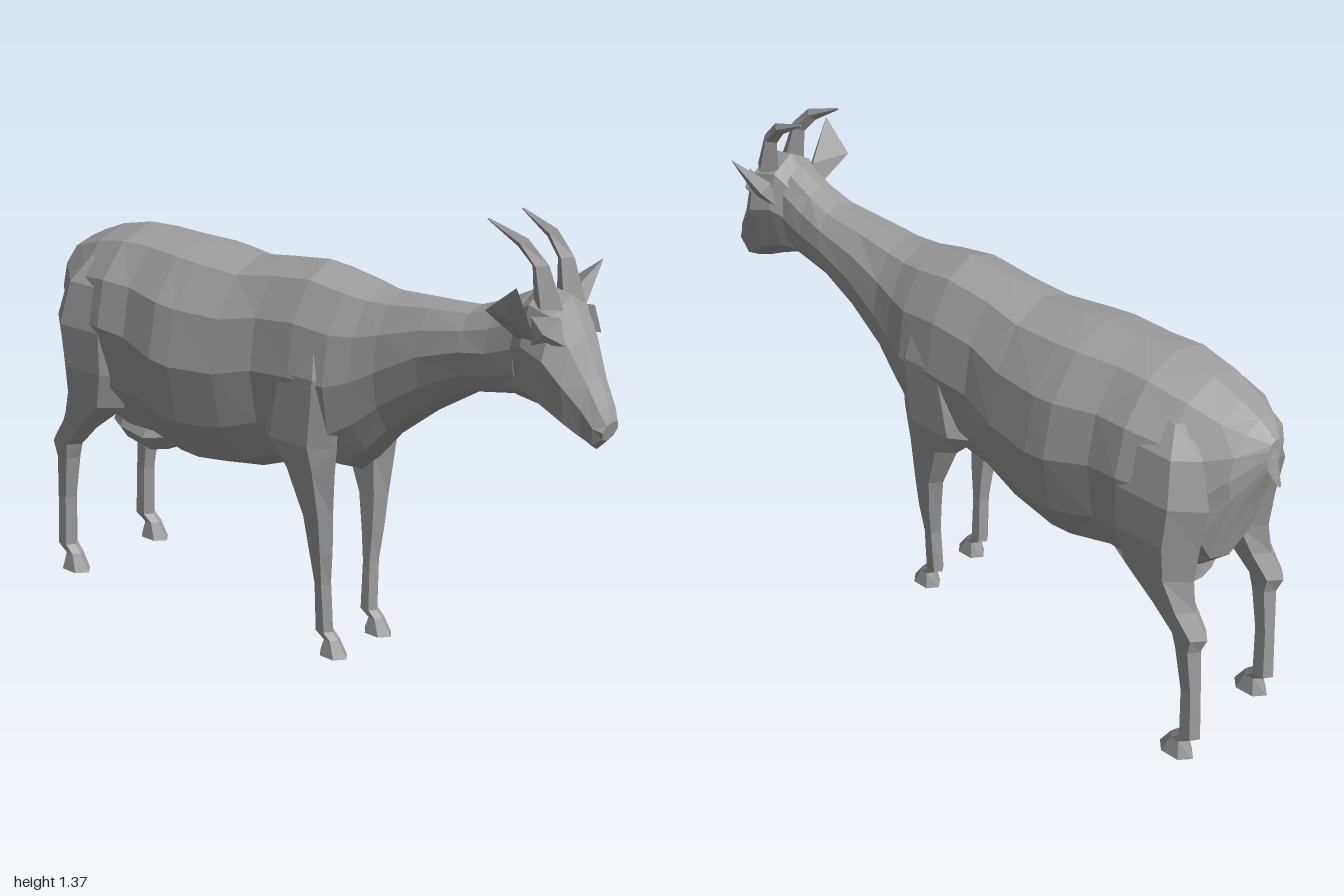
import * as THREE from 'three';
import { ConvexGeometry } from 'three/addons/geometries/ConvexGeometry.js';

const coat = new THREE.MeshStandardMaterial({ color: 0xa0a0a0 });
coat.name = 'grey coat';

// Closed ring between two points of the side plane; f is where it is widest.
function ring([ax, ay], [bx, by], halfWidth, z, sides, f) {
  return Array.from({ length: sides }, (_, i) => {
    const a = (i / sides) * Math.PI * 2, c = Math.cos(a);
    const t = c > 0 ? f * (1 - c) : f - (1 - f) * c;
    return [ax + (bx - ax) * t, ay + (by - ay) * t, z + halfWidth * Math.sin(a)];
  });
}

// Faceted skin over rings, capped at both ends and turned to face outwards.
function loft(rings) {
  const tris = [], n = rings[0].length;
  for (let r = 0; r < rings.length - 1; r++) {
    for (let i = 0; i < n; i++) {
      const j = (i + 1) % n;
      const a = rings[r][i], b = rings[r][j], c = rings[r + 1][j], d = rings[r + 1][i];
      if ((r + i) % 2) tris.push([a, b, c], [a, c, d]);
      else tris.push([a, b, d], [b, c, d]);
    }
  }
  const last = rings[rings.length - 1];
  for (let i = 1; i < n - 1; i++) {
    tris.push([rings[0][0], rings[0][i + 1], rings[0][i]], [last[0], last[i], last[i + 1]]);
  }
  let volume = 0;
  const v = (p) => new THREE.Vector3(...p);
  for (const [a, b, c] of tris) volume += v(a).dot(v(b).cross(v(c)));
  if (volume < 0) tris.forEach((t) => t.reverse());
  const geometry = new THREE.BufferGeometry();
  geometry.setAttribute('position', new THREE.Float32BufferAttribute(tris.flat(2), 3));
  geometry.computeVertexNormals();
  return geometry;
}

export function createModel() {
  const model = new THREE.Group();
  model.name = 'goat';
  const add = (name, geometry) => {
    const mesh = new THREE.Mesh(geometry, coat);
    mesh.name = name;
    model.add(mesh);
  };

  // Trunk and neck: x, top, bottom, half width, widest fraction
  const trunk = [
    [-0.97, 1.0, 0.91, 0.03, 0.5], [-0.92, 1.04, 0.78, 0.12, 0.5],
    [-0.86, 1.07, 0.58, 0.17, 0.45], [-0.77, 1.105, 0.5, 0.21, 0.42],
    [-0.65, 1.13, 0.47, 0.235, 0.42], [-0.55, 1.13, 0.47, 0.225, 0.44],
    [-0.42, 1.13, 0.445, 0.248, 0.47], [-0.35, 1.125, 0.44, 0.243, 0.48],
    [-0.2, 1.11, 0.465, 0.215, 0.48], [-0.08, 1.125, 0.51, 0.185, 0.48],
    [0.06, 1.14, 0.54, 0.185, 0.5], [0.18, 1.12, 0.55, 0.175, 0.5],
    [0.25, 1.105, 0.61, 0.15, 0.5], [0.32, 1.1, 0.69, 0.13, 0.5],
    [0.45, 1.105, 0.79, 0.112, 0.45], [0.58, 1.11, 0.87, 0.1, 0.45],
    [0.66, 1.14, 0.885, 0.09, 0.5], [0.74, 1.18, 0.9, 0.085, 0.5],
  ];
  add('trunk and neck', loft(trunk.map(([x, top, bottom, w, f]) =>
    ring([x, top], [x, bottom], w, 0, 12, f))));

  // Head: brow line, jaw line, half width
  const head = [
    [[0.69, 1.14], [0.7, 0.89], 0.07], [[0.78, 1.205], [0.77, 0.88], 0.1],
    [[0.86, 1.19], [0.84, 0.85], 0.112], [[0.905, 1.1], [0.89, 0.825], 0.09],
    [[0.95, 1.0], [0.93, 0.81], 0.06], [[0.985, 0.93], [0.955, 0.8], 0.05],
    [[1.0, 0.885], [0.985, 0.83], 0.035],
  ];
  add('head', loft(head.map(([a, b, w]) => ring(a, b, w, 0, 8, 0.45))));

  // Udder and tail
  const udder = [[-0.78, 0.54, 0.46, 0.06], [-0.71, 0.58, 0.435, 0.1],
    [-0.6, 0.58, 0.418, 0.11], [-0.53, 0.56, 0.45, 0.08], [-0.48, 0.53, 0.48, 0.04]];
  add('udder', loft(udder.map(([x, t, b, w]) => ring([x, t], [x, b], w, 0, 8, 0.6))));
  add('tail', loft([
    ring([-0.96, 1.01], [-0.9, 1.0], 0.04, 0, 4, 0.5),
    ring([-0.98, 0.95], [-0.93, 0.95], 0.035, 0, 4, 0.5),
    ring([-1.0, 0.87], [-0.99, 0.87], 0.006, 0, 4, 0.5),
  ]));

  // Legs: y, back x, front x, centre z, half width
  const hindLeg = [
    [1.03, -0.8, -0.66, 0.12, 0.03], [0.96, -0.86, -0.61, 0.15, 0.06],
    [0.83, -0.9, -0.57, 0.165, 0.076], [0.7, -0.88, -0.58, 0.165, 0.074],
    [0.59, -0.87, -0.62, 0.165, 0.062], [0.5, -0.885, -0.74, 0.17, 0.048],
    [0.43, -0.93, -0.81, 0.172, 0.04], [0.38, -0.91, -0.83, 0.172, 0.034],
    [0.24, -0.92, -0.855, 0.17, 0.027], [0.08, -0.93, -0.86, 0.17, 0.028],
    [0.055, -0.89, -0.835, 0.172, 0.026], [0, -0.915, -0.8, 0.173, 0.037],
  ];
  const frontLeg = [
    [0.98, 0.02, 0.17, 0.12, 0.035], [0.85, -0.03, 0.21, 0.135, 0.055],
    [0.65, -0.08, 0.2, 0.135, 0.054], [0.57, 0, 0.19, 0.132, 0.047],
    [0.43, 0.065, 0.175, 0.122, 0.037], [0.32, 0.085, 0.165, 0.115, 0.032],
    [0.22, 0.1, 0.15, 0.107, 0.025], [0.07, 0.095, 0.155, 0.1, 0.024],
    [0.05, 0.13, 0.175, 0.1, 0.024], [0, 0.11, 0.21, 0.1, 0.035],
  ];
  // Horns: back edge, front edge, half width, centre z
  const horn = [
    [[0.78, 1.16], [0.87, 1.16], 0.034, 0.05], [[0.775, 1.26], [0.825, 1.27], 0.022, 0.055],
    [[0.735, 1.305], [0.765, 1.33], 0.014, 0.064], [[0.645, 1.362], [0.65, 1.366], 0.003, 0.074],
  ];
  // Ears fan out to a slanted outer edge
  const ear = [[0.76, 1.07, 0.085], [0.82, 1.08, 0.095], [0.78, 1.14, 0.085],
    [0.72, 1.16, 0.175], [0.825, 1.24, 0.19], [0.77, 1.15, 0.165]];
  const brow = [[0.8, 1.14, 0.09], [0.88, 1.15, 0.075], [0.9, 1.08, 0.08],
    [0.81, 1.07, 0.1], [0.855, 1.11, 0.116], [0.84, 1.1, 0.05]];

  for (const [side, s] of [['left', -1], ['right', 1]]) {
    for (const [name, rows] of [['hind leg', hindLeg], ['front leg', frontLeg]]) {
      add(`${side} ${name}`, loft(rows.map(([y, x0, x1, z, w]) =>
        ring([x0, y], [x1, y], w, s * z, 6, 0.5))));
    }
    add(`${side} horn`, loft(horn.map(([a, b, w, z]) => ring(a, b, w, s * z, 4, 0.5))));
    for (const [name, points] of [['ear', ear], ['brow', brow]]) {
      add(`${side} ${name}`, new ConvexGeometry(
        points.map(([x, y, z]) => new THREE.Vector3(x, y, s * z))));
    }
  }
  return model;
}
